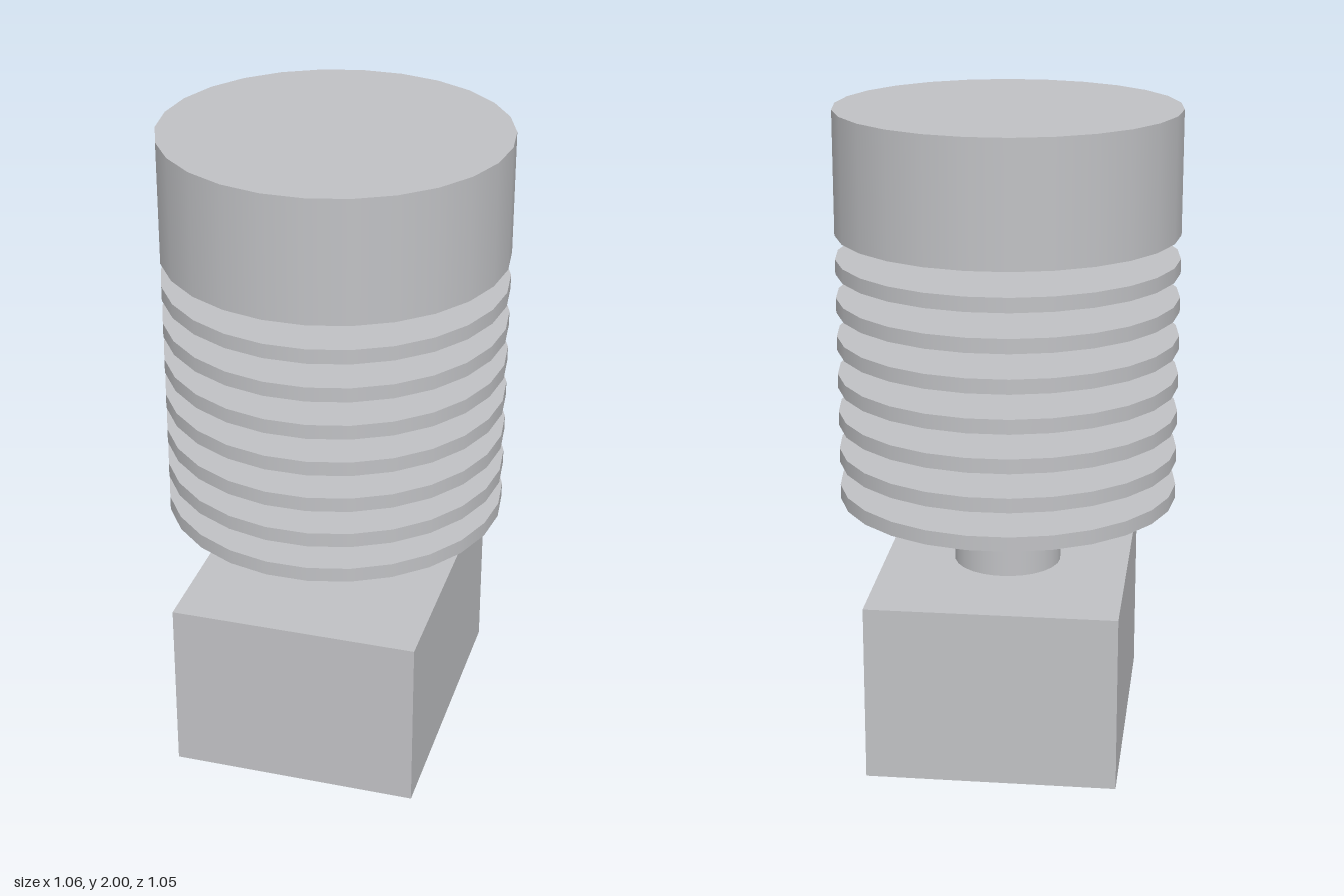
import * as THREE from 'three';

export function createModel() {
  const model = new THREE.Group();
  const metal = new THREE.MeshStandardMaterial({ color: 0xc0c1c4 });
  metal.name = 'brushed metal';

  const SIDES = 26;
  const OUTER = 0.528;

  function add(name, geometry, y) {
    const mesh = new THREE.Mesh(geometry, metal);
    mesh.name = name;
    mesh.position.y = y;
    model.add(mesh);
  }

  // Upright cylinder between two heights, with a corner on the x axis
  function disc(name, radius, bottom, top) {
    const geometry = new THREE.CylinderGeometry(radius, radius, top - bottom, SIDES, 1, false, Math.PI / 2);
    add(name, geometry, (bottom + top) / 2);
  }

  // Heater block and the narrow neck above it
  add('heaterBlock', new THREE.BoxGeometry(0.77, 0.555, 0.962), 0.2775);
  disc('neck', 0.168, 0.555, 0.702);

  // Heat sink core with evenly spaced cooling fins
  disc('core', 0.21, 0.702, 1.62);
  for (let i = 0; i < 7; i++) {
    const y = 0.8 + i * 0.1205;
    disc('coolingFin' + (i + 1), OUTER, y - 0.0225, y + 0.0225);
  }

  // Solid cap
  disc('cap', OUTER, 1.62, 2);

  return model;
}
